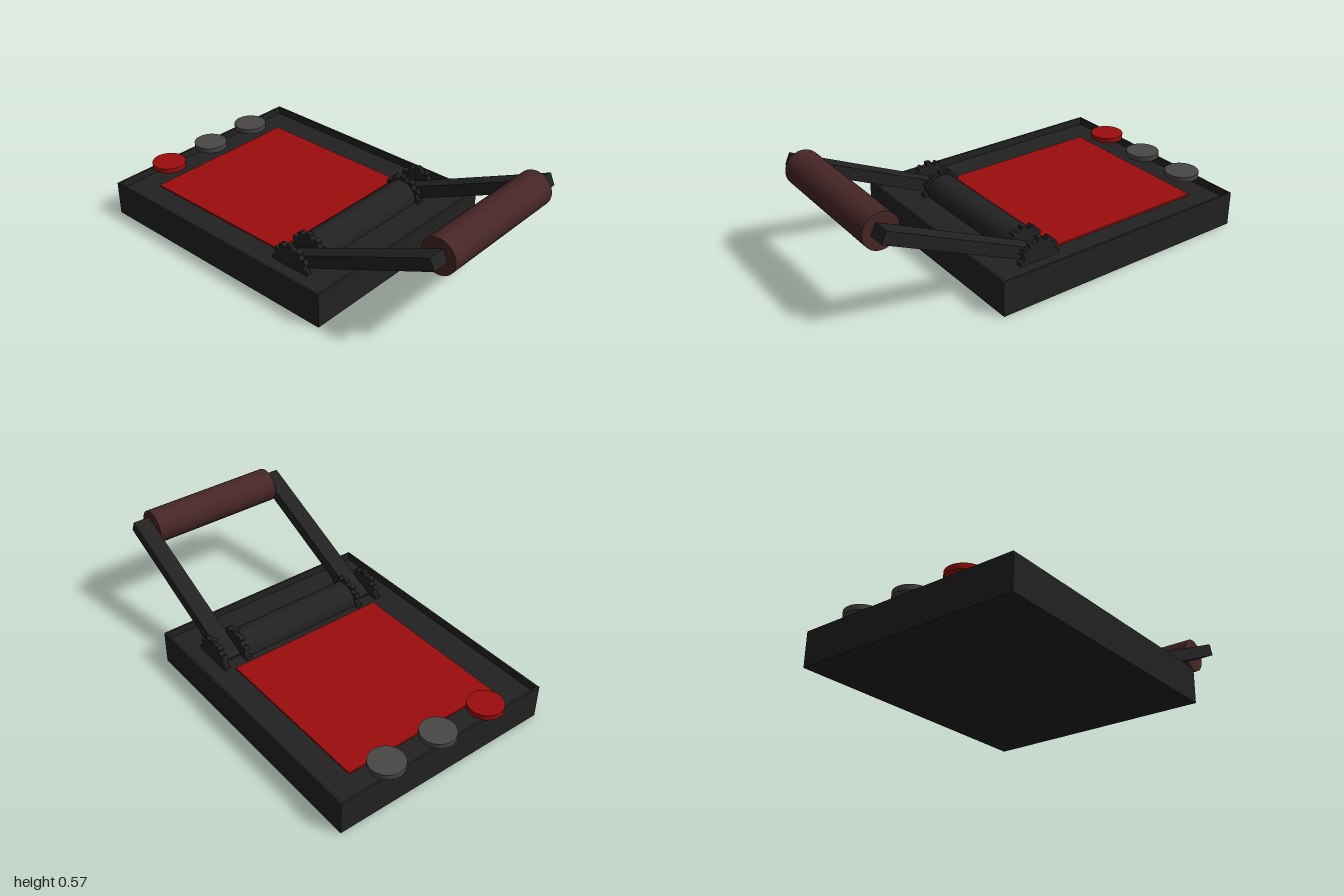
import * as THREE from 'three';

const mat = (name, color) => {
  const m = new THREE.MeshStandardMaterial({ color });
  m.name = name;
  return m;
};

export function createModel() {
  const black = mat('black', 0x222222);
  const red = mat('red', 0x9c0d0d);
  const grey = mat('grey', 0x4a4646);
  const brown = mat('brown', 0x472626);

  const model = new THREE.Group();
  const add = (name, geometry, material, x, y, z) => {
    const mesh = new THREE.Mesh(geometry, material);
    mesh.name = name;
    mesh.position.set(x, y, z);
    model.add(mesh);
    return mesh;
  };
  const box = (w, h, d) => new THREE.BoxGeometry(w, h, d);
  // Cylinder lying along z
  const rod = (r, length) => new THREE.CylinderGeometry(r, r, length, 32).rotateX(Math.PI / 2);

  // Shallow tray: solid floor with a thin raised rim
  const x0 = -0.97, x1 = 0.45, halfZ = 0.595, rim = 0.01, floor = 0.14, top = 0.18;
  const midX = (x0 + x1) / 2;
  add('trayFloor', box(x1 - x0, floor, halfZ * 2), black, midX, floor / 2, 0);
  const rimH = top - floor, rimY = (top + floor) / 2;
  for (const s of [-1, 1]) {
    add('trayRimSide', box(x1 - x0, rimH, rim), black, midX, rimY, s * (halfZ - rim / 2));
    add('trayRimEnd', box(rim, rimH, (halfZ - rim) * 2), black,
      midX + s * ((x1 - x0) / 2 - rim / 2), rimY, 0);
  }

  // Red plate
  add('plate', box(0.87, 0.009, 0.87), red, -0.395, 0.1455, -0.005);

  // Row of three round buttons overhanging the end
  [-0.3, 0, 0.295].forEach((z, i) => {
    add('button', new THREE.CylinderGeometry(0.088, 0.088, 0.027, 32), i === 2 ? red : grey,
      -0.912, 0.1925, z);
  });

  // Roller and axle
  const hubX = 0.17, hubY = 0.15;
  add('roller', rod(0.088, 0.7), black, hubX, hubY, 0);
  add('axle', rod(0.03, 0.96), black, hubX, hubY, 0);

  // Toothed wheels either side of each arm
  const teeth = 12, gearShape = new THREE.Shape();
  for (let i = 0; i < teeth; i++) {
    const a = Math.PI / 2 + (i / teeth) * Math.PI * 2, step = Math.PI / teeth;
    [[-0.56, 0.094], [-0.42, 0.111], [0.42, 0.111], [0.56, 0.094]].forEach(([k, r], j) => {
      const x = Math.cos(a + k * step) * r, y = Math.sin(a + k * step) * r;
      if (i + j === 0) gearShape.moveTo(x, y);
      else gearShape.lineTo(x, y);
    });
  }
  gearShape.closePath();
  const gear = new THREE.ExtrudeGeometry(gearShape, { depth: 0.028, bevelEnabled: false });
  gear.translate(0, 0, -0.014);
  for (const z of [-0.475, -0.35, 0.35, 0.475]) add('gear', gear, black, hubX, hubY, z);

  // Slanted arms running from the hub to the grip
  const tilt = 0.432, start = -0.052, length = 0.905;
  const along = start + length / 2;
  for (const s of [-1, 1]) {
    const arm = add('arm', box(length, 0.0625, 0.088), black,
      hubX + Math.cos(tilt) * along, hubY + Math.sin(tilt) * along, s * 0.41);
    arm.rotation.z = tilt;
  }

  // Grip
  add('grip', rod(0.09, 0.728), brown, 0.908, 0.485, 0);

  return model;
}
